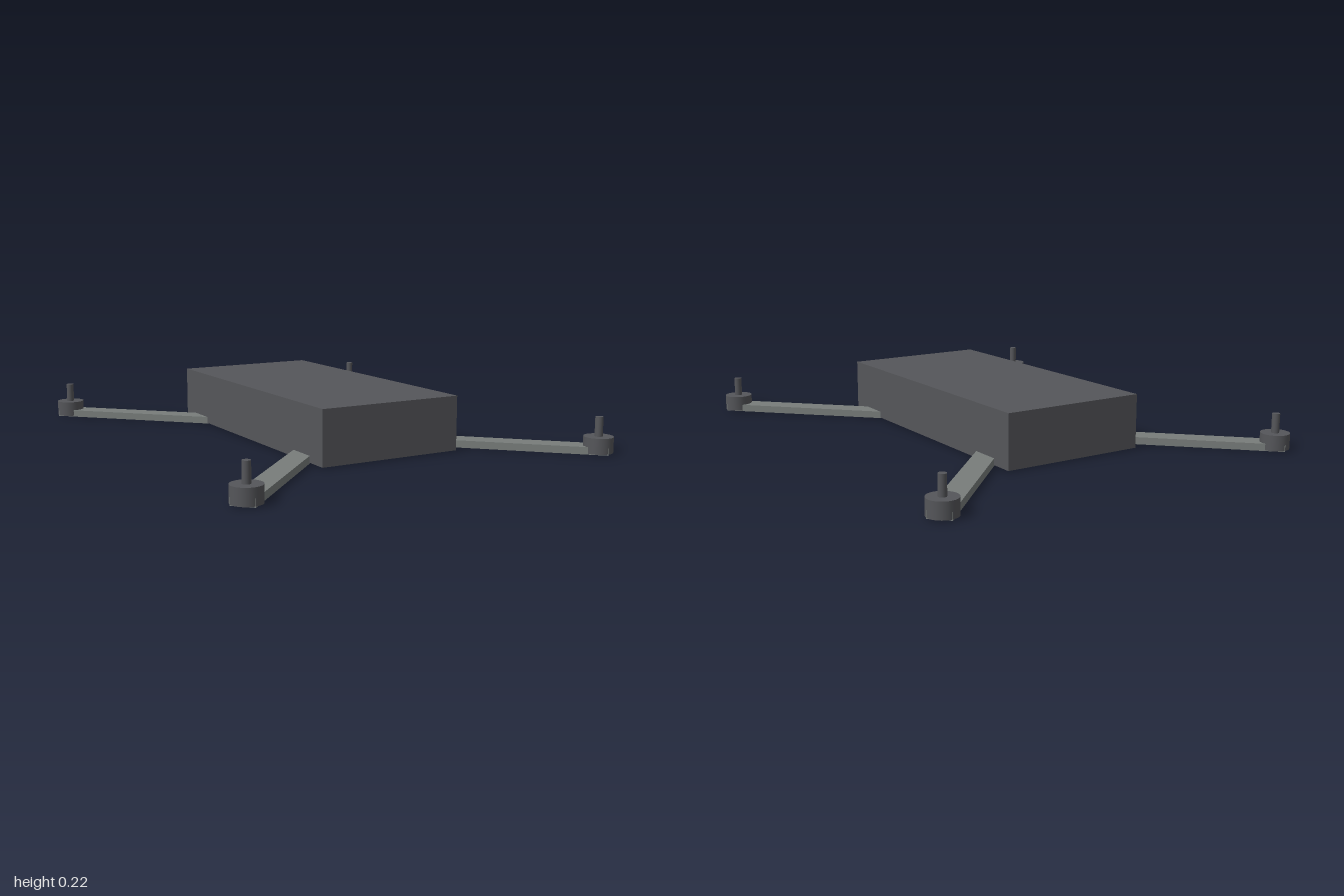
import * as THREE from 'three';

const dark = new THREE.MeshStandardMaterial({ color: 0x55565a });
const armGrey = new THREE.MeshStandardMaterial({ color: 0x787d7b });

function part(name, geometry, material, x, y, z) {
  const mesh = new THREE.Mesh(geometry, material);
  mesh.name = name;
  mesh.position.set(x, y, z);
  return mesh;
}

// One diagonal arm with its motor and shaft; local +z points outward from the motor axis
function createArm(name, x, z) {
  const length = 0.76, overhang = 0.04, width = 0.09;
  const arm = new THREE.Group();
  arm.name = name;
  arm.add(
    part('armBeam', new THREE.BoxGeometry(width, 0.03, length), armGrey, 0, 0.015, overhang - length / 2),
    part('motor', new THREE.CylinderGeometry(0.059, 0.059, 0.064, 32), dark, 0, 0.036, 0),
    part('motorShaft', new THREE.CylinderGeometry(0.016, 0.016, 0.087, 20), dark, 0, 0.1035, 0)
  );
  arm.position.set(x, 0, z);
  arm.rotation.y = Math.atan2(Math.sign(x), Math.sign(z));
  return arm;
}

export function createModel() {
  const drone = new THREE.Group();
  drone.name = 'quadcopter';

  // Central body, its underside just above the arm bottoms
  drone.add(part('body', new THREE.BoxGeometry(0.62, 0.222, 1.256), dark, 0, 0.114, 0));

  // Four arms at 45 degrees
  for (const sx of [-1, 1]) {
    for (const sz of [-1, 1]) {
      const name = (sz > 0 ? 'front' : 'back') + (sx > 0 ? 'Left' : 'Right') + 'Arm';
      drone.add(createArm(name, sx * 0.778, sz * 0.936));
    }
  }
  return drone;
}
